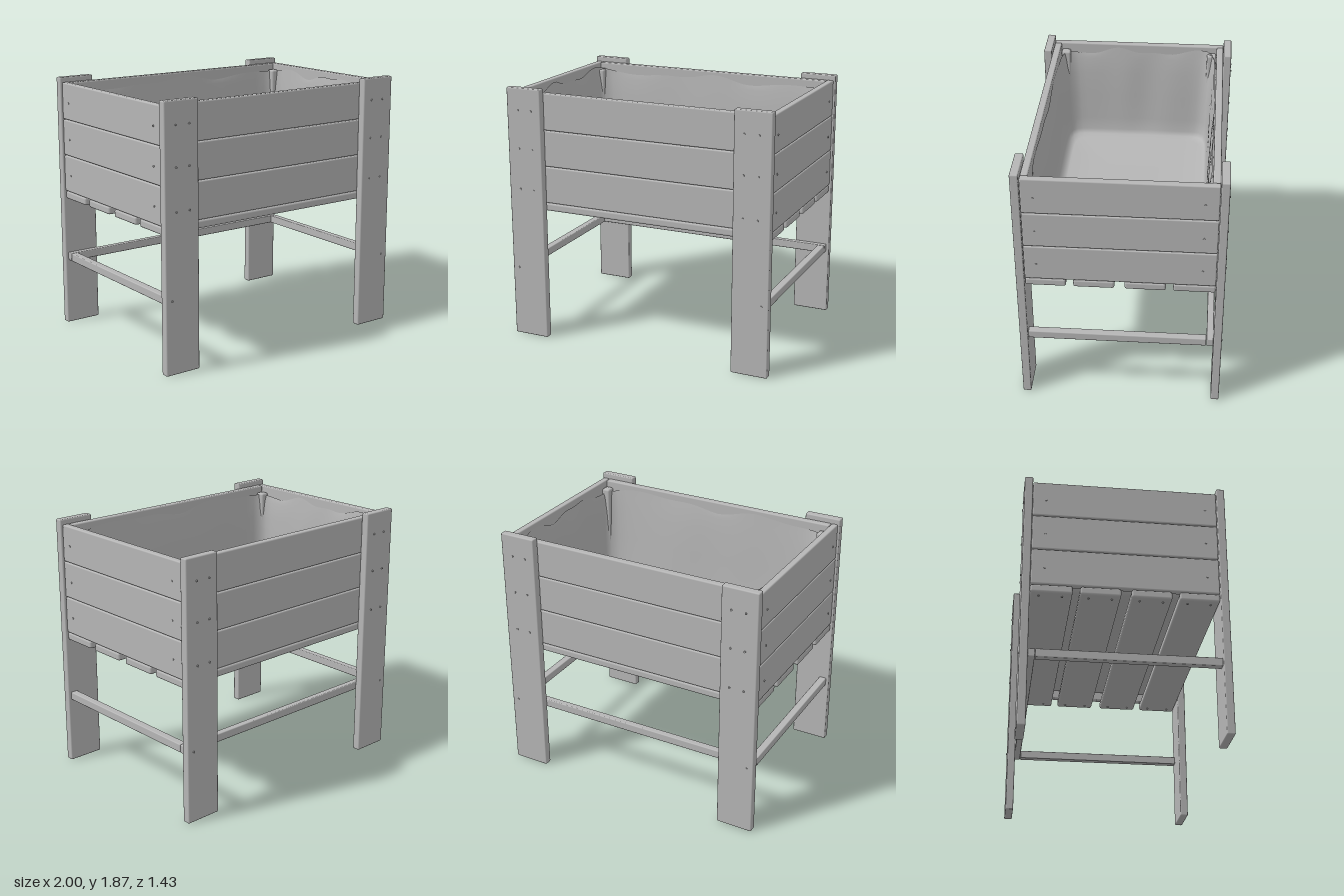
import * as THREE from 'three';
import { RoundedBoxGeometry } from 'three/addons/geometries/RoundedBoxGeometry.js';

const grey = new THREE.MeshStandardMaterial({ color: 0xb6b6b6, side: THREE.DoubleSide });
grey.name = 'plain grey';

// Softly rounded plank given by its limits on each axis
function plank(name, [x0, x1], [y0, y1], [z0, z1], radius = 0.01) {
  const geo = new RoundedBoxGeometry(x1 - x0, y1 - y0, z1 - z0, 2, radius);
  const mesh = new THREE.Mesh(geo, grey);
  mesh.position.set((x0 + x1) / 2, (y0 + y1) / 2, (z0 + z1) / 2);
  mesh.name = name;
  return mesh;
}

// Small screw head, its axis along x, y or z
function screw(x, y, z, axis) {
  const mesh = new THREE.Mesh(new THREE.CylinderGeometry(0.007, 0.007, 0.014, 8), grey);
  mesh.position.set(x, y, z);
  if (axis === 'x') mesh.rotation.z = Math.PI / 2;
  if (axis === 'z') mesh.rotation.x = Math.PI / 2;
  mesh.name = 'screw';
  return mesh;
}

// Fabric liner: closed loops running down the walls and in across the floor
function liner() {
  const loops = [ // y, half width, half depth, fold strength
    [1.78, 0.934, 0.594, 0.3], [1.72, 0.93, 0.59, 0.7], [1.6, 0.924, 0.582, 1],
    [1.4, 0.918, 0.572, 1], [1.2, 0.91, 0.562, 0.6], [1.1, 0.9, 0.552, 0.3],
    [1.065, 0.88, 0.535, 0], [1.05, 0.84, 0.5, 0], [1.045, 0.55, 0.32, 0], [1.045, 0.25, 0.15, 0],
  ];
  const n = 120, pos = [], index = [];
  for (const [y, hx, hz, fold] of loops) {
    for (let i = 0; i < n; i++) {
      const a = (i / n) * Math.PI * 2, c = Math.cos(a), s = Math.sin(a);
      const m = Math.pow(Math.abs(c) ** 14 + Math.abs(s) ** 14, -1 / 14);
      const pull = 1 - fold * (0.012 + 0.008 * Math.sin(5 * a + 1) + 0.004 * Math.sin(11 * a));
      const droop = y > 1.75 ? 0.02 * Math.sin(7 * a) + 0.012 * Math.sin(13 * a + 2) : 0;
      pos.push(hx * c * m * pull, y + droop, hz * s * m * pull);
    }
  }
  const centre = pos.length / 3;
  pos.push(0, 1.045, 0);
  loops.forEach((_, r) => {
    for (let i = 0; i < n; i++) {
      const a = r * n + i, b = r * n + (i + 1) % n;
      if (r === loops.length - 1) index.push(a, centre, b);
      else index.push(a, a + n, b, b, a + n, b + n);
    }
  });
  const geo = new THREE.BufferGeometry();
  geo.setAttribute('position', new THREE.Float32BufferAttribute(pos, 3));
  geo.setIndex(index);
  geo.computeVertexNormals();
  const mesh = new THREE.Mesh(geo, grey);
  mesh.name = 'fabricLiner';
  return mesh;
}

export function createModel() {
  const model = new THREE.Group();
  model.name = 'raisedPlanter';
  const span = (s, a, b) => (s > 0 ? [a, b] : [-b, -a]);

  // Legs with their screws, and the inner corner posts
  for (const sx of [-1, 1]) for (const sz of [-1, 1]) {
    const leg = new THREE.Group();
    leg.name = (sz > 0 ? 'front' : 'back') + (sx > 0 ? 'Left' : 'Right') + 'Leg';
    leg.add(plank('legBoard', span(sx, 0.73, 1), [0, 1.87], span(sz, 0.65, 0.708), 0.009));
    for (const y of [1.13, 1.43, 1.71])
      for (const x of [0.805, 0.91]) leg.add(screw(sx * x, y, sz * 0.708, 'z'));
    leg.add(screw(sx * 0.95, 0.525, sz * 0.708, 'z'));
    model.add(leg);
    model.add(plank('cornerPost', span(sx, 0.87, 0.935), [1.03, 1.79], span(sz, 0.525, 0.595), 0.015));
  }

  // Three courses of boards on all four walls
  const courses = [[1.03, 1.298], [1.302, 1.564], [1.568, 1.835]];
  for (const s of [-1, 1]) for (const y of courses) {
    model.add(plank(s > 0 ? 'frontBoard' : 'backBoard', [-0.937, 0.937], y, span(s, 0.597, 0.648)));
    model.add(plank(s > 0 ? 'leftBoard' : 'rightBoard', span(s, 0.938, 0.988), y, [-0.648, 0.648]));
    for (const z of [-0.555, 0.565])
      model.add(screw(s * 0.986, (y[0] + y[1]) / 2 - 0.01, z, 'x'));
  }

  // Floor slats with gaps between
  for (const z of [[0.37, 0.648], [0.04, 0.32], [-0.31, -0.03], [-0.648, -0.36]]) {
    model.add(plank('floorSlat', [-0.985, 0.985], [0.97, 1.028], z, 0.015));
    for (const x of [-0.93, 0.93]) for (const d of [0.06, 0.22])
      model.add(screw(x, 0.971, z[0] + d, 'y'));
  }

  // Lower rails: both sides and the back
  for (const s of [-1, 1])
    model.add(plank('sideRail', span(s, 0.925, 0.98), [0.492, 0.552], [-0.6, 0.65], 0.007));
  model.add(plank('backRail', [-0.98, 0.98], [0.492, 0.552], [-0.65, -0.602], 0.007));

  model.add(liner());
  return model;
}
